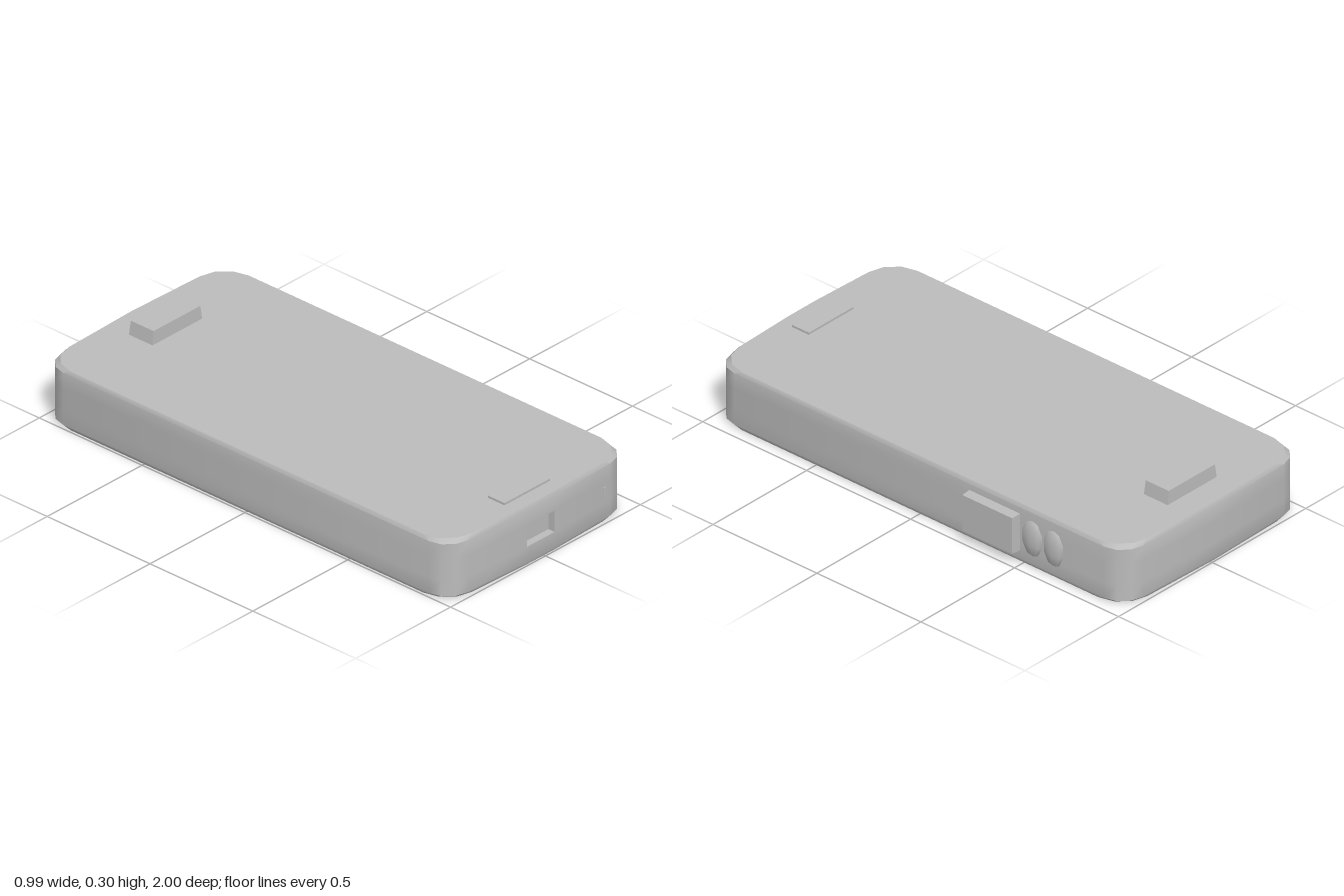
import * as THREE from 'three';
import { mergeGeometries, toCreasedNormals } from 'three/addons/utils/BufferGeometryUtils.js';

const grey = new THREE.MeshStandardMaterial({ color: 0xbcbcbc });
grey.name = 'grey';

const X0 = -0.495, X1 = 0.455, PORT = [-0.095, 0.05];

// Rounded outline seen from above, as (x, -z); notch cuts the port into the front
function outline(inset, r, notch = 0) {
  const x0 = X0 + inset, x1 = X1 - inset, w = 0.988 - inset, pts = [];
  const corners = [[x1 - r, -w + r], [x1 - r, w - r], [x0 + r, w - r], [x0 + r, -w + r]];
  corners.forEach(([cx, cy], c) => {
    for (let i = 0; i <= 3; i++) {
      const a = (c - 1 + i / 3) * Math.PI / 2;
      pts.push(new THREE.Vector2(cx + r * Math.cos(a), cy + r * Math.sin(a)));
    }
    // slight bow of the back end
    if (c === 1) pts.push(new THREE.Vector2(-0.02, w + 0.01));
  });
  const f = -w - 0.01, [a, b] = PORT;
  pts.push(new THREE.Vector2(a, f));
  if (notch) pts.push(new THREE.Vector2(a, f + notch), new THREE.Vector2(b, f + notch));
  pts.push(new THREE.Vector2(b, f));
  return pts;
}

// Closed slab between two outlines with matching points
function loft(low, high, y0, y1) {
  const pos = [], n = low.length;
  const put = (p, y) => pos.push(p.x, y, -p.y);
  for (let i = 0; i < n; i++) {
    const j = (i + 1) % n;
    put(low[i], y0); put(low[j], y0); put(high[j], y1);
    put(low[i], y0); put(high[j], y1); put(high[i], y1);
  }
  for (const [a, b, c] of THREE.ShapeUtils.triangulateShape(high, [])) {
    put(high[a], y1); put(high[b], y1); put(high[c], y1);
  }
  for (const [a, b, c] of THREE.ShapeUtils.triangulateShape(low, [])) {
    put(low[c], y0); put(low[b], y0); put(low[a], y0);
  }
  const g = new THREE.BufferGeometry();
  g.setAttribute('position', new THREE.Float32BufferAttribute(pos, 3));
  return g;
}

// Box whose +y end is narrowed
function taperedBox(w, h, d, tx, tz) {
  const g = new THREE.BoxGeometry(w, h, d), p = g.attributes.position;
  for (let i = 0; i < p.count; i++) {
    if (p.getY(i) > 0) p.setXYZ(i, p.getX(i) * tx, p.getY(i), p.getZ(i) * tz);
  }
  g.computeVertexNormals();
  return g;
}

export function createModel() {
  const model = new THREE.Group();
  const add = (name, geometry, x = 0, y = 0, z = 0) => {
    const mesh = new THREE.Mesh(geometry, grey);
    mesh.name = name;
    mesh.position.set(x, y, z);
    model.add(mesh);
    return mesh;
  };

  // Body in layers: bevelled rims, walls, and a middle layer with the port
  const rim = outline(0.006, 0.125), wall = outline(0, 0.1), cut = outline(0, 0.1, 0.03);
  const body = mergeGeometries([
    loft(rim, wall, 0.003, 0.016),
    loft(wall, wall, 0.016, 0.08),
    loft(cut, cut, 0.08, 0.168),
    loft(wall, wall, 0.168, 0.23),
    loft(wall, rim, 0.23, 0.245),
  ]);
  add('body', toCreasedNormals(body, 0.6));

  // Top face details
  add('topButton', taperedBox(0.265, 0.065, 0.115, 0.93, 0.96), -0.022, 0.2675, -0.827);
  add('speakerPlate', new THREE.BoxGeometry(0.24, 0.012, 0.08), -0.022, 0.248, 0.892);

  // Side controls
  const lock = add('sideSwitch', taperedBox(0.155, 0.055, 0.245, 0.96, 0.98), 0.4675, 0.127, -0.364);
  lock.rotation.z = -Math.PI / 2;
  for (const [name, z] of [['frontSideButton', -0.545], ['backSideButton', -0.647]]) {
    const knob = add(name, new THREE.SphereGeometry(1, 8, 5), 0.45, 0.123, z);
    knob.scale.set(0.022, 0.078, 0.054);
  }

  // Small slot mark on the front
  add('frontSlot', new THREE.BoxGeometry(0.01, 0.04, 0.006), 0.32, 0.126, 0.989);
  return model;
}
